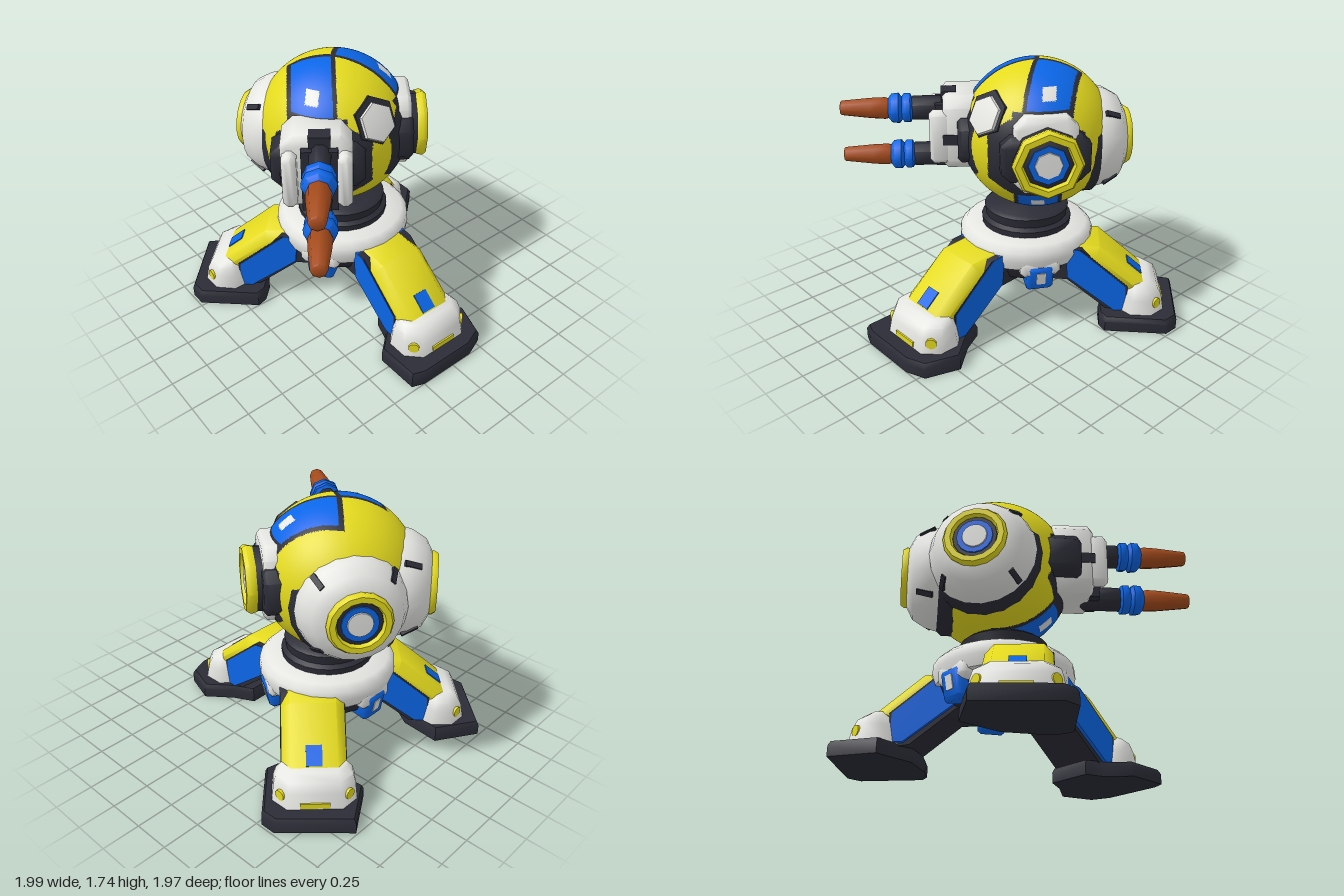
import * as THREE from 'three';
import { toCreasedNormals } from 'three/addons/utils/BufferGeometryUtils.js';

const material = (name, color) => {
  const m = new THREE.MeshStandardMaterial({ color });
  m.name = name;
  return m;
};
const yellow = material('yellow paint', 0xe4da1e);
const white = material('white armour', 0xe5e5e2);
const blue = material('blue paint', 0x0b67ea);
const dark = material('dark metal', 0x2b2c36);
const copper = material('copper', 0xa54b1c);

function add(parent, name, geometry, mat, x = 0, y = 0, z = 0) {
  const mesh = new THREE.Mesh(geometry, mat);
  mesh.name = name;
  mesh.position.set(x, y, z);
  parent.add(mesh);
  return mesh;
}

// Group whose local +z points along a compass angle (0 = +x, 90 = +z)
function mount(parent, name, azimuth, x, y, z) {
  const g = new THREE.Group();
  g.name = name;
  g.position.set(x, y, z);
  g.rotation.y = THREE.MathUtils.degToRad(90 - azimuth);
  parent.add(g);
  return g;
}

const outline = points => new THREE.Shape(points.map(p => new THREE.Vector2(...p)));

function lathe(points, segments = 24) {
  const g = new THREE.LatheGeometry(points.map(p => new THREE.Vector2(...p)), segments);
  return toCreasedNormals(g, 0.9);
}
// Lathe turned so that its axis lies along +z
const latheZ = (points, segments) => lathe(points, segments).rotateX(Math.PI / 2);

// Side outline in (outward, height), extruded symmetrically across x
function slab(points, halfWidth, bevel = 0) {
  const g = new THREE.ExtrudeGeometry(outline(points), { depth: (halfWidth - bevel) * 2, bevelEnabled: bevel > 0,
    bevelSize: bevel, bevelThickness: bevel, bevelOffset: -bevel, bevelSegments: 1 });
  return toCreasedNormals(g.translate(0, 0, bevel - halfWidth).rotateY(-Math.PI / 2), 0.9);
}

// Box with chamfered ends, face pointing to +z
function chamferBox(w, h, d, c) {
  const a = w / 2, b = h / 2, bevel = 0.025;
  const shape = outline([[-a + c, -b], [a - c, -b], [a, -b + c], [a, b - c], [a - c, b],
    [-a + c, b], [-a, b - c], [-a, -b + c]]);
  const g = new THREE.ExtrudeGeometry(shape, { depth: d - bevel, bevelEnabled: true, bevelSize: bevel,
    bevelThickness: bevel, bevelOffset: -bevel, bevelSegments: 1 });
  return toCreasedNormals(g, 0.9);
}

// Stack of equal-sized rings, each a list of [x, z], closed at both ends
function loft(levels) {
  const n = levels[0].ring.length, top = (levels.length - 1) * n, index = [];
  const pos = levels.flatMap(({ y, ring }) => ring.flatMap(([x, z]) => [x, y, z]));
  for (let l = 0; l < top; l += n) {
    for (let i = 0; i < n; i++) {
      const j = (i + 1) % n;
      index.push(l + i, l + j, l + n + j, l + i, l + n + j, l + n + i);
    }
  }
  for (let i = 1; i < n - 1; i++) index.push(top, top + i, top + i + 1, 0, i + 1, i);
  const g = new THREE.BufferGeometry();
  g.setAttribute('position', new THREE.Float32BufferAttribute(pos, 3));
  g.setIndex(index);
  return toCreasedNormals(g, 0.9);
}
const chamferRing = (w, a, b, c) => [[-w + c, b], [w - c, b], [w, b - c], [w, a + c],
  [w - c, a], [-w + c, a], [-w, a + c], [-w, b - c]];

// Head shell colours: two panel strips that leave the crown at right angles
function shellColour(x, y, z) {
  const s = z >= 0 ? 1 : -1, h = Math.abs(y);
  const f = (x + s * z) / Math.SQRT2, u = (s * z - x) / Math.SQRT2;
  if (f < -0.03) return 0;
  const across = Math.abs(u - (y > 0 ? 0.28 - 0.16 * f : 0.05));
  if (h > 0.57 && f > 0.035 && across < 0.255) {
    return Math.abs(u - (y > 0 ? 0.17 : 0.05)) < 0.085 && Math.abs(h - 0.74) < 0.07 ? 1 : 2;
  }
  if (across < 0.31) return 3;
  const start = y > 0 ? 0.48 : 0.56;
  const reach = 0.3 + 0.31 * THREE.MathUtils.clamp((start - h) / 0.2, 0, 1);
  return f > 0 && h < 0.56 && Math.abs(u - 0.02) < reach ? 3 : 0;
}

function shell(radius) {
  const g = new THREE.SphereGeometry(radius, 240, 160);
  const p = g.attributes.position, src = g.index.array, buckets = [[], [], [], []];
  for (let i = 0; i < src.length; i += 3) {
    const tri = [src[i], src[i + 1], src[i + 2]];
    const mid = k => tri.reduce((sum, v) => sum + p.getComponent(v, k), 0) / 3 / radius;
    buckets[shellColour(mid(0), mid(1), mid(2))].push(...tri);
  }
  g.setIndex(buckets.flat());
  let start = 0;
  buckets.forEach((b, i) => { g.addGroup(start, b.length, i); start += b.length; });
  return g;
}

// Round lens with yellow rim, its back at z
function lens(parent, r, z, segments) {
  add(parent, 'lensRim', latheZ([[r * 0.96, 0], [r, 0.04], [r * 0.92, 0.065], [r * 0.74, 0.065], [r * 0.69, 0.035]], segments), yellow, 0, 0, z);
  add(parent, 'lensWell', latheZ([[r * 0.72, 0.03], [r * 0.68, 0.04], [0, 0.04]], segments), dark, 0, 0, z);
  add(parent, 'lensRing', latheZ([[r * 0.57, 0.03], [r * 0.56, 0.048], [0, 0.048]], segments), blue, 0, 0, z);
  add(parent, 'lensGlass', latheZ([[r * 0.4, 0.045], [r * 0.38, 0.055], [0, 0.057]], segments), white, 0, 0, z);
}

const sideSole = [[-0.33, 1.13], [-0.25, 1.16], [0.15, 1.16], [0.28, 1.11], [0.355, 0.89],
  [0.22, 0.72], [0.15, 0.58], [-0.15, 0.58], [-0.2, 0.72], [-0.335, 0.84]];
const rearSole = [[-0.24, 1.16], [0.25, 1.142], [0.322, 1.07], [0.304, 0.66], [0.24, 0.622],
  [0.12, 0.62], [-0.1, 0.67], [-0.233, 0.785], [-0.31, 0.85]];

function buildLeg(parent, azimuth, x, side, sole) {
  const leg = mount(parent, 'leg', azimuth, x, 0, 0);
  leg.scale.x = side;
  const upper = sole.map(([a, b]) => [a * 0.95, 0.88 + (b - 0.88) * 0.95]);
  add(leg, 'footSole', loft([{ y: 0, ring: sole }, { y: 0.07, ring: sole }, { y: 0.1, ring: upper }]), dark);
  add(leg, 'shoe', loft([
    { y: 0.09, ring: chamferRing(0.26, 0.74, 1.06, 0.09) },
    { y: 0.2, ring: chamferRing(0.25, 0.75, 1.04, 0.09) },
    { y: 0.26, ring: chamferRing(0.235, 0.77, 1.01, 0.08) },
    { y: 0.295, ring: chamferRing(0.2, 0.79, 0.96, 0.06) }]), white);
  add(leg, 'legPlate', slab([[0.36, 0.575], [0.61, 0.555], [0.93, 0.28], [0.8, 0.2], [0.5, 0.3], [0.36, 0.4]], 0.2, 0.055), yellow);
  add(leg, 'legSeam', slab([[0.37, 0.565], [0.49, 0.555], [0.535, 0.52], [0.81, 0.285], [0.8, 0.2], [0.5, 0.4]], 0.202), dark);
  add(leg, 'legSides', slab([[0.38, 0.565], [0.475, 0.555], [0.518, 0.52], [0.793, 0.285], [0.8, 0.1], [0.72, 0.1], [0.4, 0.35]], 0.205), blue);
  add(leg, 'legUnderside', slab([[0.2, 0.5], [0.45, 0.45], [0.78, 0.2], [0.76, 0.08], [0.68, 0.09], [0.4, 0.32], [0.2, 0.33]], 0.18), dark);
  add(leg, 'legMarker', new THREE.BoxGeometry(0.1, 0.009, 0.13), blue, 0, 0.345, 0.859).rotation.x = 0.71;
  add(leg, 'shoeSlot', new THREE.BoxGeometry(0.18, 0.035, 0.03), yellow, 0, 0.125, 1.046);
  for (const s of [-1, 1]) {
    const bolt = add(leg, 'shoeBolt', new THREE.CylinderGeometry(0.036, 0.036, 0.03, 10).rotateX(Math.PI / 2), yellow, s * 0.204, 0.17, 0.998);
    bolt.rotation.y = s * Math.PI / 4;
  }
}

function buildDome(head, azimuth) {
  const dome = mount(head, 'sideDome', azimuth, 0, -0.045, 0);
  add(dome, 'domeRim', latheZ([[0.37, 0.24], [0.37, 0.345], [0.33, 0.39]], 20), dark);
  add(dome, 'domeArmour', latheZ([[0.342, 0.3], [0.342, 0.385], [0.325, 0.45], [0.275, 0.535], [0.2, 0.575], [0.15, 0.58]], 20), white);
  for (let i = 0; i < 4; i++) {
    const a = Math.PI * (0.25 + i / 2);
    const notch = add(dome, 'domeNotch', new THREE.BoxGeometry(0.11, 0.035, 0.02), dark, 0.315 * Math.cos(a), 0.315 * Math.sin(a), 0.463);
    notch.rotation.set(0, 1.04, a, 'ZYX');
  }
  lens(dome, 0.2, 0.55, 16);
}

function buildGuns(head) {
  const gun = mount(head, 'gunPod', 38, 0, 0, 0);
  add(gun, 'podBrace', chamferBox(0.58, 0.3, 0.26, 0.06), dark, -0.09, 0, 0.26);
  add(gun, 'podHousing', chamferBox(0.43, 0.5, 0.25, 0.07), white, -0.095, 0.03, 0.36);
  add(gun, 'podCore', new THREE.BoxGeometry(0.22, 0.42, 0.14), dark, -0.075, 0, 0.59);
  add(gun, 'podRecess', new THREE.BoxGeometry(0.13, 0.1, 0.1), dark, -0.075, 0.234, 0.57);
  for (const s of [-1, 1]) {
    add(gun, 'podCheek', chamferBox(0.09, 0.36, 0.13, 0.03), white, -0.09 + s * 0.165, 0.01, 0.57);
    add(gun, 'podSlot', new THREE.BoxGeometry(0.008, 0.07, 0.13), dark, -0.095 + s * 0.216, 0, 0.55);
  }
  for (const y of [0.16, -0.165]) {
    add(gun, 'gunArm', chamferBox(0.13, 0.15, 0.26, 0.04), dark, -0.07, y, 0.57);
    add(gun, 'gunCollar', latheZ([[0.05, 0], [0.1, 0.02], [0.1, 0.06], [0.08, 0.075], [0.105, 0.095], [0.1, 0.14], [0.06, 0.17]], 8), blue, -0.07, y, 0.8);
    add(gun, 'gunBarrel', latheZ([[0.06, 0], [0.075, 0.05], [0.07, 0.14], [0.05, 0.33], [0.04, 0.34], [0, 0.34]], 8), copper, -0.07, y, 0.935).rotation.x = -0.03;
  }
}

function buildPorthole(head) {
  const port = mount(head, 'porthole', -54, 0, 0, 0);
  add(port, 'portBrace', chamferBox(0.56, 0.3, 0.24, 0.06), dark, 0, 0, 0.26);
  add(port, 'portHousing', chamferBox(0.4, 0.5, 0.17, 0.07), white, 0, 0.02, 0.32);
  add(port, 'portCollar', latheZ([[0.22, 0], [0.21, 0.1], [0, 0.1]], 8), dark, 0, 0, 0.44);
  lens(port, 0.225, 0.53, 8);
}

export function createModel() {
  const model = new THREE.Group();
  model.name = 'tripodTurret';
  const cx = -0.16;

  // Three-legged base
  buildLeg(model, 0, cx, 1, sideSole);
  buildLeg(model, 135, 0, 1, rearSole);
  buildLeg(model, -135, 0, -1, rearSole);
  add(model, 'hub', lathe([[0, 0.3], [0.22, 0.3], [0.36, 0.36], [0.41, 0.48]]), dark, cx);
  add(model, 'baseRing', lathe([[0.37, 0.45], [0.43, 0.46], [0.455, 0.53], [0.45, 0.59], [0.41, 0.63], [0.25, 0.63]]), white, cx);
  for (const azimuth of [60, -60, 180]) {
    const panel = mount(model, 'hubPanel', azimuth, cx, 0.4, 0);
    add(panel, 'panelFrame', chamferBox(0.27, 0.13, 0.1, 0.03), white, 0, 0.07, 0.335);
    const plate = add(panel, 'panelPlate', chamferBox(0.18, 0.2, 0.12, 0.02), blue, 0, 0.01, 0.315);
    plate.rotation.x = 0.2;
    add(plate, 'panelHatch', new THREE.BoxGeometry(0.06, 0.09, 0.008), white, 0, 0.01, 0.121);
  }
  add(model, 'neck', lathe([[0.3, 0.61], [0.305, 0.67], [0.275, 0.69], [0.285, 0.75], [0.26, 0.77], [0, 0.77]]), dark, cx);

  // Round head
  const head = new THREE.Group();
  head.name = 'head';
  head.position.set(-0.24, 1.245, 0);
  model.add(head);
  add(head, 'headShell', shell(0.495), [yellow, white, blue, dark]);
  buildDome(head, 144);
  buildDome(head, -144);
  buildGuns(head);
  buildPorthole(head);

  // Hexagonal brow badge
  const brow = mount(head, 'brow', 0, 0, 0, 0);
  brow.rotation.order = 'YXZ';
  brow.rotation.x = -0.46;
  add(brow, 'browFrame', latheZ([[0.16, 0.43], [0.155, 0.485], [0, 0.49]], 6), dark, 0, 0.015, 0);
  add(brow, 'browPlate', latheZ([[0.135, 0.46], [0.125, 0.505], [0, 0.525]], 6), white);
  return model;
}
